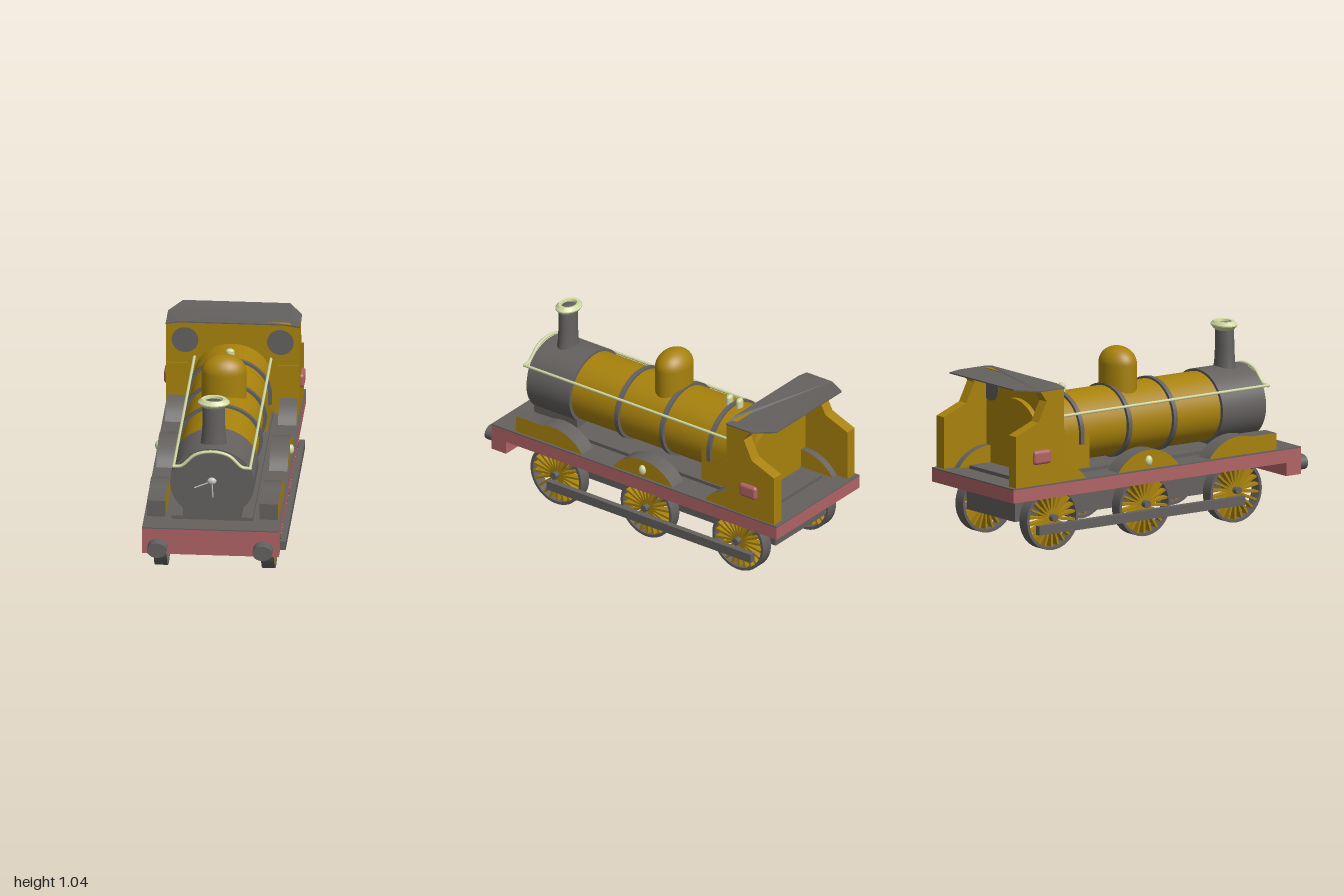
import * as THREE from 'three';
import { toCreasedNormals } from 'three/addons/utils/BufferGeometryUtils.js';
import { RoundedBoxGeometry } from 'three/addons/geometries/RoundedBoxGeometry.js';

const mat = (name, color, side = THREE.FrontSide) => {
  const m = new THREE.MeshStandardMaterial({ color, side });
  m.name = name;
  return m;
};

export function createModel() {
  const root = new THREE.Group();
  root.name = 'steamLocomotive';
  const gold = mat('gold paint', 0xa8820c);
  const grey = mat('dark grey', 0x64615f);
  const red = mat('faded red', 0xb06365);
  const cream = mat('pale brass', 0xd0d8a2);
  const silver = mat('light steel', 0xc4c4c4);
  const SIDES = [-1, 1];
  const AXLES = [0.527, -0.083, -0.703];
  const BOILER_Y = 0.59;

  const add = (name, geo, material, x = 0, y = 0, z = 0, parent = root) => {
    const m = new THREE.Mesh(geo, material);
    m.name = name;
    m.position.set(x, y, z);
    parent.add(m);
    return m;
  };
  // box given by its limits
  const box = (name, material, [x0, x1], [y0, y1], [z0, z1]) =>
    add(name, new THREE.BoxGeometry(x1 - x0, y1 - y0, z1 - z0), material,
      (x0 + x1) / 2, (y0 + y1) / 2, (z0 + z1) / 2);
  // outline in x,y pushed along z
  const alongZ = (shape, z0, z1) => toCreasedNormals(
    new THREE.ExtrudeGeometry(shape, { depth: z1 - z0, bevelEnabled: false, curveSegments: 32 })
      .translate(0, 0, z0), 0.6);
  // outline in -z,y pushed along x
  const alongX = (shape, x0, x1) => alongZ(shape, x0, x1).rotateY(Math.PI / 2);
  const mirrorSpan = (s, a, b) => (s > 0 ? [a, b] : [-b, -a]);
  const polygon = pts => new THREE.Shape(pts.map(p => new THREE.Vector2(...p)));
  const ellipseTube = (rx, ry, len) =>
    new THREE.CylinderGeometry(1, 1, len, 48).rotateX(Math.PI / 2).scale(rx, ry, 1);
  // barrel outline whose lower sides run down to a flat foot
  const arch = (rx, ry, below, footX, footY) => {
    const s = new THREE.Shape();
    s.absellipse(0, BOILER_Y, rx, ry, -below, Math.PI + below, false, 0);
    s.lineTo(-footX, footY);
    s.lineTo(footX, footY);
    return s;
  };

  // Running plate, buffer beam and frame
  box('runningPlate', red, [-0.37, 0.37], [0.298, 0.37], [-1, 0.93]);
  box('plateTop', grey, [-0.37, 0.37], [0.37, 0.376], [-1, 0.93]);
  box('bufferBeam', red, [-0.37, 0.37], [0.225, 0.298], [0.83, 0.93]);
  box('frame', grey, [-0.22, 0.22], [0.157, 0.3], [-0.88, 0.725]);
  box('boilerBed', grey, [-0.22, 0.22], [0.375, 0.395], [-0.86, 0.8]);
  for (const s of SIDES)
    add('buffer', ellipseTube(0.053, 0.042, 0.08), grey, s * 0.285, 0.272, 0.96);

  // Wheels: tyre, spokes and hub
  const tyreShape = new THREE.Shape().absarc(0, 0, 0.172, 0, Math.PI * 2);
  tyreShape.holes.push(new THREE.Path().absarc(0, 0, 0.156, 0, Math.PI * 2, true));
  const tyre = alongX(tyreShape, -0.035, 0.035);
  const spoke = new THREE.BoxGeometry(0.04, 0.14, 0.012).translate(0, 0.09, 0);
  const hub = new THREE.CylinderGeometry(0.032, 0.032, 0.055, 20).rotateZ(Math.PI / 2);
  for (const z of AXLES) {
    add('axle', new THREE.CylinderGeometry(0.02, 0.02, 0.7, 16).rotateZ(Math.PI / 2), grey, 0, 0.178, z);
    for (const s of SIDES) {
      const wheel = new THREE.Group();
      wheel.name = 'wheel';
      wheel.position.set(s * 0.29, 0.172, z);
      root.add(wheel);
      add('tyre', tyre, grey, 0, 0, 0, wheel);
      add('hub', hub, gold, 0, 0, 0, wheel);
      for (let i = 0; i < 22; i++)
        add('spoke', spoke, gold, s * 0.008, 0, 0, wheel).rotation.x = i * Math.PI / 11;
      add('crankPin', new THREE.CylinderGeometry(0.014, 0.014, 0.06, 12).rotateZ(Math.PI / 2),
        grey, s * 0.32, 0.13, z);
    }
  }
  for (const s of SIDES)
    box('couplingRod', grey, mirrorSpan(s, 0.345, 0.378), [0.102, 0.152], [-0.83, 0.55]);

  // Splashers: gold faces, grey tops
  const roundSplasher = c => {
    const sh = new THREE.Shape();
    const a = Math.acos(0.2 / 0.245);
    sh.absarc(-c, 0.235, 0.245, a, Math.PI - a);
    return sh;
  };
  const frontSplasher = new THREE.Shape();
  frontSplasher.absarc(-AXLES[0], 0.235, 0.245, Math.acos(0.2 / 0.245), Math.PI / 2 + 0.3);
  frontSplasher.lineTo(-0.775, 0.467);
  frontSplasher.lineTo(-0.775, 0.376);
  const splashers = [frontSplasher, roundSplasher(AXLES[1]), roundSplasher(AXLES[2])];
  for (const s of SIDES) {
    for (const sh of splashers)
      add('splasher', alongX(sh, ...mirrorSpan(s, 0.255, 0.355)), [gold, grey]);
    add('splasherBoss', new THREE.SphereGeometry(1, 20, 14).scale(0.02, 0.029, 0.022),
      cream, s * 0.356, 0.42, AXLES[1]);
  }

  // Boiler, firebox and bands
  add('boiler', ellipseTube(0.208, 0.19, 0.92), gold, 0, BOILER_Y, 0.06);
  add('firebox', alongZ(arch(0.21, 0.19, 0, 0.21, 0.376), -0.72, -0.37), gold);
  for (const z of [0.195, -0.108])
    add('boilerBand', ellipseTube(0.228, 0.202, 0.025), grey, 0, BOILER_Y, z);
  add('fireboxBand', alongZ(arch(0.228, 0.202, 0, 0.228, 0.53), -0.443, -0.418), grey);

  // Smokebox with its door and handles
  add('smokebox', alongZ(arch(0.228, 0.203, 0.8, 0.157, 0.376), 0.51, 0.8), grey);
  add('smokeboxDoor', ellipseTube(0.205, 0.175, 0.02), grey, 0, 0.61, 0.803);
  add('doorKnob', new THREE.SphereGeometry(1, 16, 12).scale(0.025, 0.02, 0.015), silver, 0, 0.615, 0.825);
  for (const [x, y] of [[-0.095, 0.573], [0.005, 0.52]])
    add('doorHandle', new THREE.TubeGeometry(new THREE.LineCurve3(
      new THREE.Vector3(0, 0.613, 0.825), new THREE.Vector3(x, y, 0.825)), 1, 0.004, 8), silver);

  // Chimney, cap and dome turned on the lathe, wider across than along
  const lathe = (pts, n = 40) =>
    new THREE.LatheGeometry(pts.map(p => new THREE.Vector2(...p)), n).scale(1, 1, 0.76);
  add('chimney', lathe([[0.075, 0.76], [0.066, 0.82], [0.061, 0.9], [0.06, 1.0], [0.052, 1.025], [0, 1.025]]),
    grey, 0, 0, 0.69);
  add('chimneyCap', toCreasedNormals(lathe([[0.055, 0.99], [0.067, 0.998], [0.086, 1.016], [0.086, 1.022],
    [0.066, 1.04], [0.05, 1.038], [0.046, 1.022]]), 0.6), cream, 0, 0, 0.685);
  const domeCurve = [[0.122, 0.7], [0.122, 0.8], [0.122, 0.895]];
  for (let i = 1; i <= 10; i++) {
    const a = i * Math.PI / 20;
    domeCurve.push([i === 10 ? 0 : 0.122 * Math.cos(a), 0.895 + 0.093 * Math.sin(a)]);
  }
  add('dome', lathe(domeCurve), gold, 0, 0, -0.027);

  // Safety valves
  for (const z of [-0.402, -0.47])
    add('safetyValve', new THREE.CapsuleGeometry(0.017, 0.05, 6, 16).scale(1.4, 1, 1), cream, 0, 0.79, z);

  // Handrails along the barrel joined by a curved rail over the door
  const v = (x, y, z) => new THREE.Vector3(x, y, z);
  const railCurve = new THREE.CatmullRomCurve3([v(-0.205, 0.697, 0.828), v(-0.165, 0.702, 0.828),
    v(-0.09, 0.768, 0.828), v(0, 0.788, 0.828), v(0.09, 0.768, 0.828), v(0.165, 0.702, 0.828),
    v(0.205, 0.697, 0.828)]);
  add('frontRail', new THREE.TubeGeometry(railCurve, 48, 0.009, 10), cream);
  for (const s of SIDES) {
    add('sideRail', new THREE.CylinderGeometry(0.008, 0.008, 1.485, 10).rotateX(Math.PI / 2),
      cream, s * 0.207, 0.698, 0.085);
    add('railCorner', new THREE.SphereGeometry(0.0095, 12, 8), cream, s * 0.207, 0.697, 0.828);
  }

  // Cab walls
  add('cabFront', alongZ(polygon([[-0.36, 0.376], [0.36, 0.376], [0.36, 0.888], [0.29, 0.898],
    [-0.29, 0.898], [-0.36, 0.888]]), -0.69, -0.655), gold);
  const cabSide = polygon([[0.66, 0.376], [0.975, 0.376], [0.975, 0.66], [0.825, 0.72],
    [0.77, 0.83], [0.81, 0.888], [0.66, 0.888]]);
  for (const s of SIDES) {
    add('cabSide', alongX(cabSide, ...mirrorSpan(s, 0.295, 0.36)), gold);
    box('cabFrontPanel', gold, mirrorSpan(s, 0.245, 0.36), [0.376, 0.663], [-0.656, -0.648]);
    for (const z of [-0.655, -0.69])
      add('cabWindow', ellipseTube(0.072, 0.073, 0.006), grey, s * 0.258, 0.797, z);
    add('sidePlate', new RoundedBoxGeometry(0.04, 0.078, 0.115, 4, 0.018), red, s * 0.36, 0.53, -0.805);
  }

  // Cab roof: thin plate with lowered side edges and a tapered back
  const roof = new THREE.ExtrudeGeometry(polygon([[-0.362, -0.65], [-0.362, -0.82], [-0.29, -0.94],
    [0.29, -0.94], [0.362, -0.82], [0.362, -0.65], [0.29, -0.65], [-0.29, -0.65]]),
  { depth: 0.007, bevelEnabled: false });
  roof.rotateX(Math.PI / 2).scale(1, 1, 1).translate(0, 0.905, 0);
  const p = roof.attributes.position;
  for (let i = 0; i < p.count; i++) if (Math.abs(p.getX(i)) > 0.33) p.setY(i, p.getY(i) - 0.011);
  roof.computeVertexNormals();
  add('cabRoof', roof, grey);

  return root;
}
